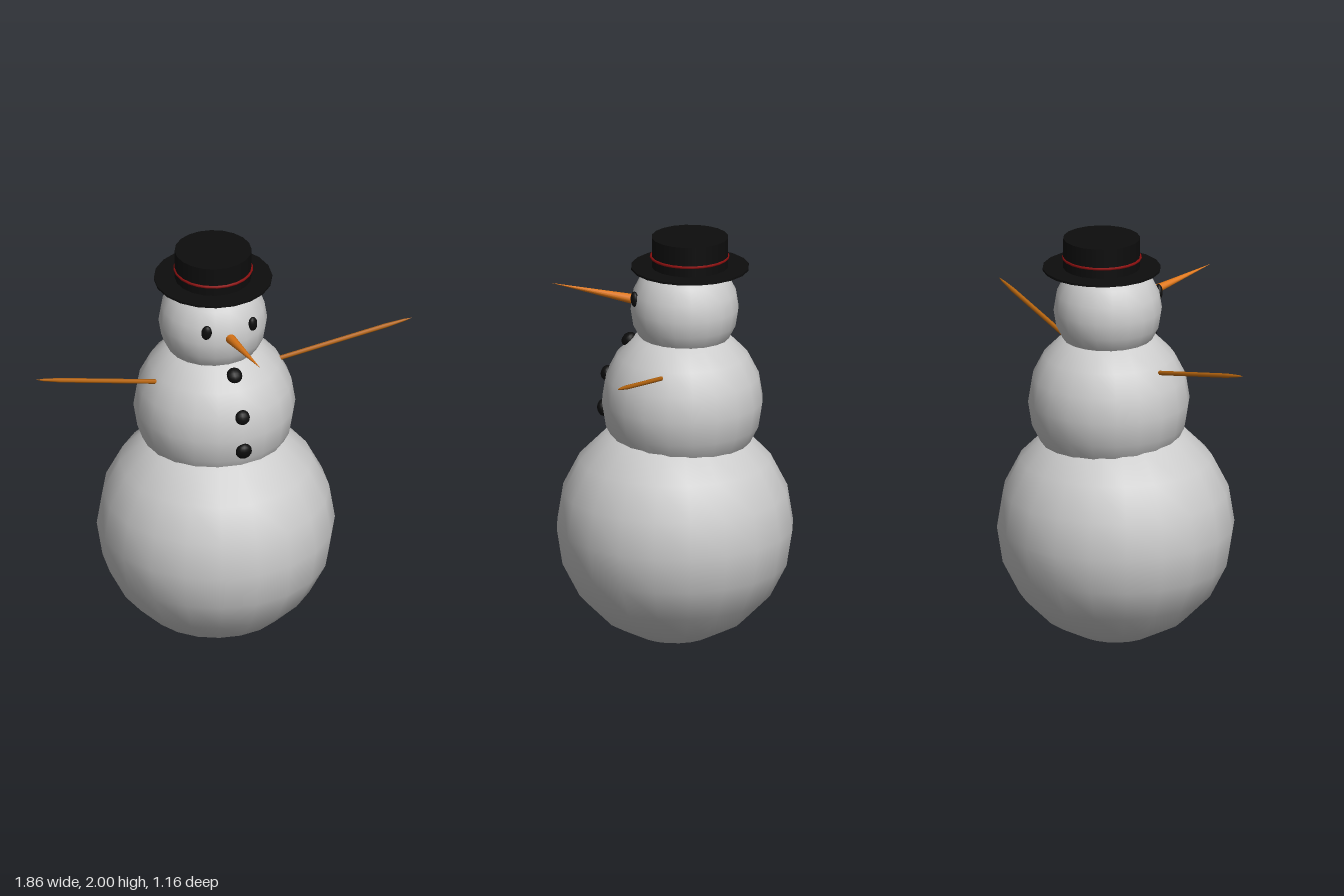
import * as THREE from 'three';

const material = (color) => new THREE.MeshStandardMaterial({ color });
const snow = material(0xcccccc);
const coal = material(0x0d0d0d);
const felt = material(0x0d0d0d);
const ribbon = material(0x8b0f0f);
const carrot = material(0xe07818);
const wood = material(0xb8660f);
const UP = new THREE.Vector3(0, 1, 0);

export function createModel() {
  const model = new THREE.Group();

  const add = (name, geometry, mat, position, parent = model) => {
    const mesh = new THREE.Mesh(geometry, mat);
    mesh.name = name;
    mesh.position.set(...position);
    parent.add(mesh);
    return mesh;
  };

  // Three stacked snowballs
  const ball = (name, r, position) => add(name, new THREE.SphereGeometry(r, 20, 10), snow, position);
  ball('lowerBody', 0.563, [-0.025, 0.565, -0.02]);
  ball('upperBody', 0.383, [-0.018, 1.19, -0.057]);
  ball('head', 0.257, [-0.022, 1.645, -0.067]);

  // Flattened coal lumps facing outward from the snowball they sit on
  const lump = (name, size, position, centre) => {
    const mesh = add(name, new THREE.SphereGeometry(1, 14, 10), coal, position);
    mesh.scale.set(...size);
    mesh.lookAt(mesh.position.clone().multiplyScalar(2).sub(new THREE.Vector3(...centre)));
    return mesh;
  };
  for (const [name, x, lean] of [['rightEye', -0.138, -0.12], ['leftEye', 0.096, 0.12]]) {
    lump(name, [0.025, 0.037, 0.018], [x, 1.708, 0.152], [-0.022, 1.708, -0.067]).rotateZ(lean);
  }
  [[1.475, 0.2, 0.038], [1.302, 0.305, 0.036], [1.127, 0.322, 0.04]].forEach(([y, z, r], i) =>
    lump('button' + (i + 1), [r, r, 0.028], [-0.015, y, z], [-0.015, 1.19, -0.057]));

  // Tapered profile turned around the line from one point to another
  const spike = (name, from, to, profile, sides, mat) => {
    const start = new THREE.Vector3(...from);
    const dir = new THREE.Vector3(...to).sub(start);
    const length = dir.length();
    const points = profile.map(([r, t]) => new THREE.Vector2(r, t * length));
    const mesh = add(name, new THREE.LatheGeometry(points, sides), mat, from);
    mesh.quaternion.setFromUnitVectors(UP, dir.normalize());
  };

  // Carrot nose
  spike('nose', [-0.028, 1.664, 0.15], [-0.028, 1.726, 0.575], [[0, 0], [0.026, 0], [0, 1]], 12, carrot);

  // Stick arms with sharpened ends
  const stick = [[0, 0], [0.011, 0], [0.011, 0.8], [0.006, 0.94], [0, 1]];
  spike('rightArm', [-0.32, 1.387, -0.015], [-0.935, 1.525, -0.02], stick, 6, wood);
  spike('leftArm', [0.295, 1.387, -0.012], [0.928, 1.527, 0.084], stick, 6, wood);

  // Top hat: thin brim, crown and ribbon
  const hat = new THREE.Group();
  hat.name = 'hat';
  hat.position.set(-0.01, 1.85, -0.095);
  model.add(hat);
  add('brim', new THREE.CylinderGeometry(0.28, 0.28, 0.01, 20), felt, [0, 0, 0], hat);
  add('crown', new THREE.CylinderGeometry(0.182, 0.182, 0.15, 20), felt, [0, 0.075, 0], hat);
  const band = add('hatBand', new THREE.TorusGeometry(0.182, 0.007, 6, 24), ribbon, [0, 0.053, 0.002], hat);
  band.rotation.x = Math.PI / 2;

  return model;
}
